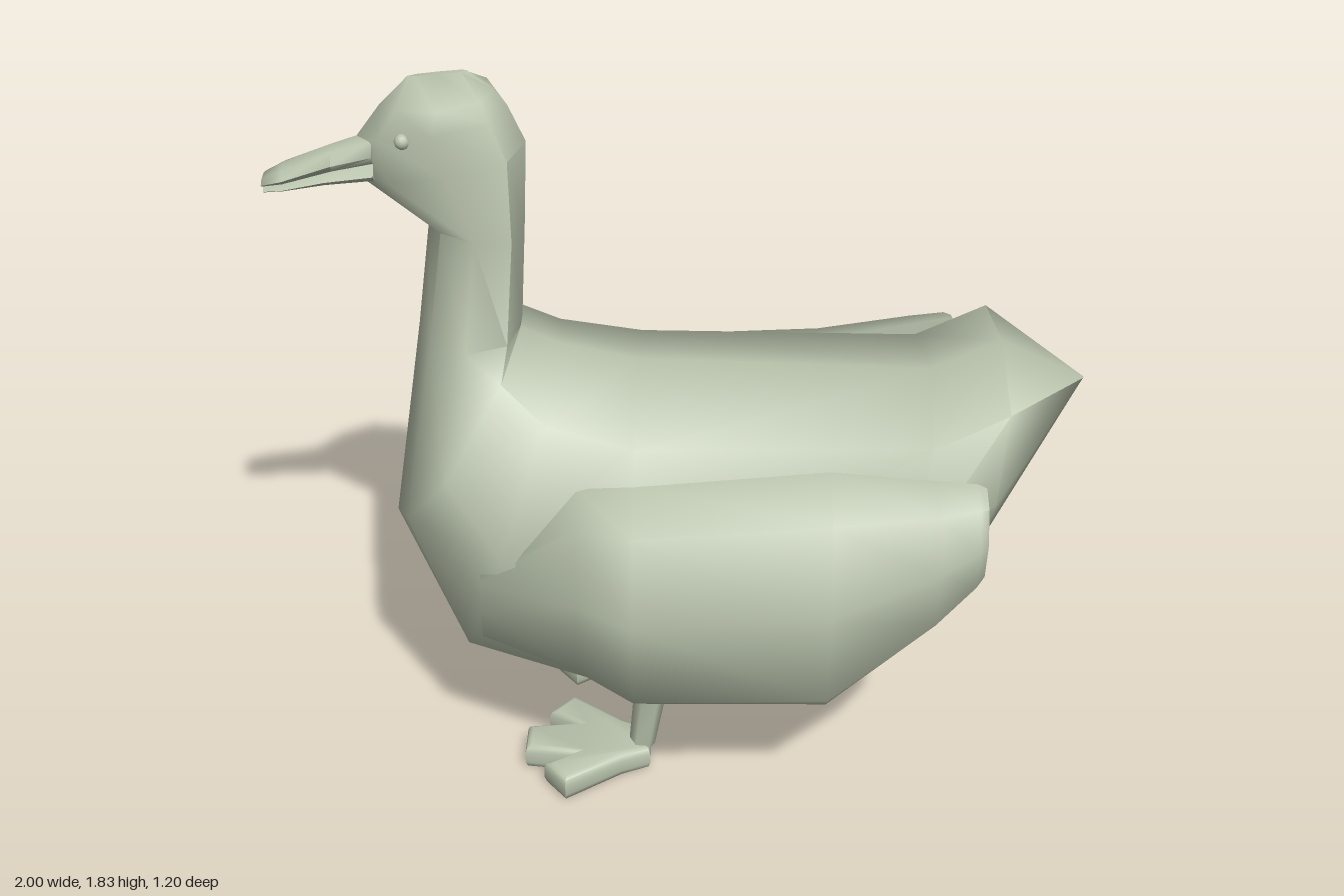
import * as THREE from 'three';
import { toCreasedNormals } from 'three/addons/utils/BufferGeometryUtils.js';

const material = new THREE.MeshStandardMaterial({ color: 0xb9c3ac });
const { lerp } = THREE.MathUtils;

// Skin a list of closed rings and cap both ends; winding is made to face outward.
function loft(rings, crease = 1.2) {
  const n = rings[0].length;
  const positions = rings.flat();
  const faces = [];
  for (let r = 0; r < rings.length - 1; r++) {
    for (let i = 0; i < n; i++) {
      const a = r * n + i, b = r * n + (i + 1) % n;
      // Mirrored halves get mirrored diagonals.
      if (i < n / 2) faces.push([a, b, b + n], [a, b + n, a + n]);
      else faces.push([a, b, a + n], [b, b + n, a + n]);
    }
  }
  for (const r of [0, rings.length - 1]) {
    const centre = [0, 1, 2].map(k => rings[r].reduce((sum, p) => sum + p[k], 0) / n);
    const c = positions.push(centre) - 1;
    for (let i = 0; i < n; i++) {
      const a = r * n + i, b = r * n + (i + 1) % n;
      faces.push(r === 0 ? [c, b, a] : [c, a, b]);
    }
  }
  const v = positions.map(p => new THREE.Vector3(...p));
  const volume = faces.reduce((sum, [a, b, c]) => sum + v[a].dot(v[b].clone().cross(v[c])), 0);
  if (volume < 0) faces.forEach(f => f.reverse());
  const geometry = new THREE.BufferGeometry();
  geometry.setAttribute('position', new THREE.Float32BufferAttribute(positions.flat(), 3));
  geometry.setIndex(faces.flat());
  return toCreasedNormals(geometry, crease);
}

// Complete a half ring (first and last points on the centre plane) by mirroring in z.
const mirrorRing = half => [
  ...half,
  ...half.slice(1, -1).reverse().map(([x, y, z]) => [x, y, -z]),
];

function part(name, geometry) {
  const mesh = new THREE.Mesh(geometry, material);
  mesh.name = name;
  return mesh;
}

// Body, neck and head as one skin, from tail tip to crown.
// Section: back x, y; belly x, y; half widths near the back, midway and near the belly.
function makeBody() {
  const sections = [
    [1, 1.04, 0.99, 1.025, 0.005, 0.006, 0.005],
    [0.79, 1.14, 0.72, 0.58, 0.29, 0.35, 0.23],
    [0.62, 1.06, 0.46, 0.36, 0.3, 0.42, 0.3],
    [-0.11, 1.08, -0.13, 0.16, 0.31, 0.45, 0.34],
    [-0.3, 1.12, -0.58, 0.28, 0.28, 0.39, 0.29],
    [-0.4, 1.17, -0.74, 0.63, 0.22, 0.34, 0.18],
    [-0.395, 1.2, -0.65, 1.18, 0.165, 0.195, 0.13],
    [-0.38, 1.45, -0.61, 1.46, 0.125, 0.138, 0.085],
    [-0.37, 1.66, -0.76, 1.56, 0.11, 0.12, 0.06],
    [-0.41, 1.75, -0.77, 1.67, 0.1, 0.113, 0.06],
    [-0.44, 1.79, -0.71, 1.75, 0.08, 0.105, 0.055],
    [-0.5, 1.835, -0.64, 1.82, 0.008, 0.01, 0.008],
  ];
  const rings = sections.map(([tx, ty, bx, by, ...widths]) => mirrorRing(
    [0, 0.09, 0.47, 0.84, 1].map((t, i) => [lerp(tx, bx, t), lerp(ty, by, t), [0, ...widths, 0][i]])));
  return part('body', loft(rings));
}

// Folded wing. Section: x; top y, z; bottom y, z; outermost z; inner z.
function makeWing(side) {
  const sections = [
    [-0.49, 0.66, 0.33, 0.47, 0.34, 0.375, 0.3],
    [-0.25, 0.9, 0.33, 0.41, 0.4, 0.51, 0.33],
    [-0.11, 0.925, 0.36, 0.38, 0.49, 0.6, 0.36],
    [0.36, 0.96, 0.34, 0.385, 0.49, 0.585, 0.36],
    [0.61, 0.975, 0.4, 0.63, 0.5, 0.57, 0.4],
    [0.7, 0.98, 0.42, 0.74, 0.5, 0.55, 0.43],
    [0.72, 0.975, 0.43, 0.76, 0.48, 0.53, 0.43],
  ];
  const rings = sections.map(([x, top, topZ, bottom, bottomZ, outer, inner]) => [
    [0, topZ],
    [0.09, lerp(topZ, outer, 0.65)],
    [0.45, outer],
    [0.92, lerp(bottomZ, outer, 0.5)],
    [1, bottomZ],
    [0.98, inner],
  ].map(([t, z]) => [x, lerp(top, bottom, t), z * side]));
  return part(side > 0 ? 'leftWing' : 'rightWing', loft(rings));
}

// Leg shaft and a flat foot with three spread toes.
function makeLeg(side) {
  const group = new THREE.Group();
  group.name = side > 0 ? 'leftLeg' : 'rightLeg';
  const z0 = 0.24 * side;
  const ring = (x, y, rx, rz) => Array.from({ length: 6 }, (_, i) => {
    const a = i * Math.PI / 3;
    return [x + rx * Math.cos(a), y, z0 + rz * Math.sin(a)];
  });
  group.add(part('shank', loft([
    ring(-0.065, 0.32, 0.06, 0.055),
    ring(-0.08, 0.22, 0.042, 0.047),
    ring(-0.102, 0.06, 0.034, 0.04),
  ])));

  const half = [[-0.095, 0.035], [-0.16, 0.065], [-0.29, 0.16], [-0.33, 0.11], [-0.25, 0.055], [-0.39, 0.035]];
  const outline = [...half, ...half.slice().reverse().map(([x, z]) => [x, -z])];
  const shape = new THREE.Shape(outline.map(([x, z]) => new THREE.Vector2(x, z)));
  const foot = new THREE.ExtrudeGeometry(shape, {
    depth: 0.03, bevelEnabled: true, bevelThickness: 0.02, bevelSize: 0.016, bevelSegments: 2,
  });
  foot.rotateX(Math.PI / 2);
  foot.translate(0, 0.058, z0);
  group.add(part('foot', toCreasedNormals(foot, 1)));
  return group;
}

// Beak half. Section: x, top, bottom, half width.
function makeBill(name, sections) {
  const rings = sections.map(([x, top, bottom, w]) => mirrorRing([
    [x, top, 0],
    [x, lerp(top, bottom, 0.2), w * 0.65],
    [x, lerp(top, bottom, 0.7), w],
    [x, bottom, w * 0.7],
    [x, bottom, 0],
  ]));
  return part(name, loft(rings));
}

export function createModel() {
  const model = new THREE.Group();
  model.name = 'duck';
  model.add(makeBody());
  model.add(makeBill('upperBill', [
    [-0.73, 1.685, 1.615, 0.055], [-0.83, 1.65, 1.592, 0.046], [-0.95, 1.6, 1.56, 0.053], [-1, 1.572, 1.55, 0.04],
  ]));
  model.add(makeBill('lowerBill', [
    [-0.73, 1.62, 1.57, 0.05], [-0.85, 1.59, 1.555, 0.04], [-0.95, 1.563, 1.54, 0.046], [-0.998, 1.552, 1.533, 0.034],
  ]));
  for (const side of [1, -1]) {
    model.add(makeWing(side), makeLeg(side));
    const eye = part(side > 0 ? 'leftEye' : 'rightEye', new THREE.SphereGeometry(0.019, 12, 8));
    eye.position.set(-0.65, 1.69, 0.083 * side);
    model.add(eye);
  }
  return model;
}
